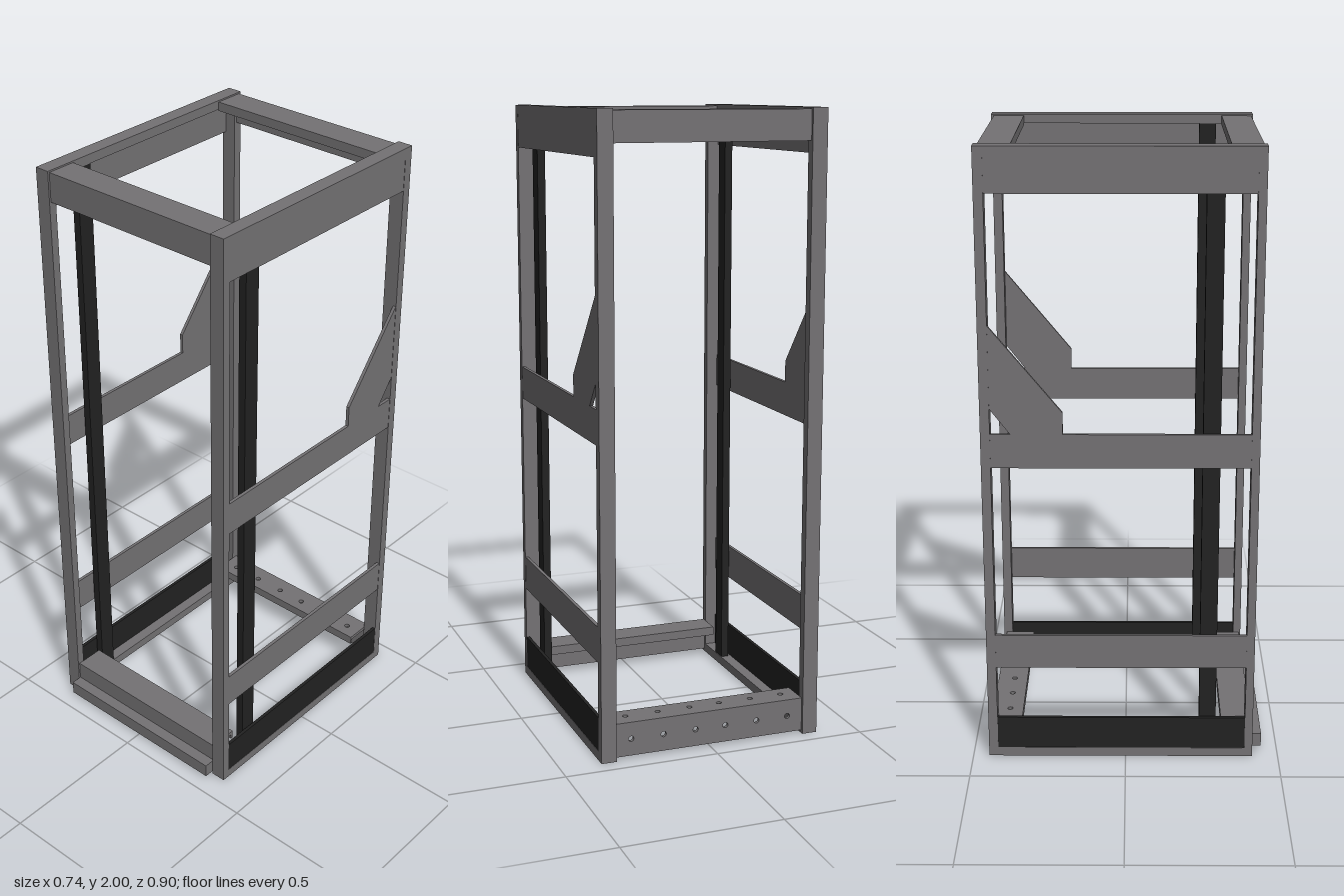
import * as THREE from 'three';

export function createModel() {
  const model = new THREE.Group();
  const grey = new THREE.MeshStandardMaterial({ color: 0x747274 });
  grey.name = 'grey steel';
  const black = new THREE.MeshStandardMaterial({ color: 0x222222 });
  black.name = 'black steel';

  const add = (name, geometry, material = grey, parent = model) => {
    const mesh = new THREE.Mesh(geometry, material);
    mesh.name = name;
    parent.add(mesh);
    return mesh;
  };
  // Box given by its extents on each axis
  const box = (name, [x0, x1], [y0, y1], [z0, z1], material, parent) =>
    add(name, new THREE.BoxGeometry(x1 - x0, y1 - y0, z1 - z0), material, parent)
      .position.set((x0 + x1) / 2, (y0 + y1) / 2, (z0 + z1) / 2);

  const FRONT = 0.416, BACK = -0.448, IN = 0.318, OUT = 0.368, T = 0.012;
  const between = [-0.418, 0.39];
  const plate = [OUT - T, OUT - 0.001];

  // Two mirrored side frames
  for (const s of [1, -1]) {
    const side = new THREE.Group();
    side.name = s > 0 ? 'leftSide' : 'rightSide';
    model.add(side);
    const xs = ([a, b]) => (s > 0 ? [a, b] : [-b, -a]);
    const part = (name, x, y, z, material) => box(name, xs(x), y, z, material, side);

    part('frontPost', [IN, OUT], [0, 2], [0.39, FRONT]);
    part('backPost', [IN, OUT], [0, 2], [BACK, -0.418]);
    part('topRail', [IN, OUT], [1.97, 2], between);
    part('bottomRail', [IN, OUT], [0, 0.03], between);
    part('topSidePlate', plate, [1.86, 1.97], between);
    part('middleBrace', plate, [1.005, 1.115], between);
    part('lowerBrace', plate, [0.32, 0.435], between);
    part('bottomSidePlate', plate, [0.03, 0.14], between, black);
    part('mountingRail', [IN + 0.002, 0.346], [0.03, 1.97], [0.24, 0.295], black);

    // Angled gusset between the middle brace and the back post
    const gusset = new THREE.Shape([
      [0.418, 1.46], [0.193, 1.185], [0.193, 1.115], [0.355, 1.115], [0.418, 1.197],
    ].map(([z, y]) => new THREE.Vector2(z, y)));
    const g = new THREE.ExtrudeGeometry(gusset, { depth: T - 0.001, bevelEnabled: false });
    g.rotateY(Math.PI / 2);
    const m = add('gusset', g, grey, side);
    m.position.x = s > 0 ? plate[0] : -plate[1];
  }

  // Flat plate centred on x, with an optional row of bolt holes
  const W = 2 * IN;
  const holedPlate = (height, thick, holes) => {
    const h = height / 2;
    const shape = new THREE.Shape([
      new THREE.Vector2(-IN, -h), new THREE.Vector2(IN, -h),
      new THREE.Vector2(IN, h), new THREE.Vector2(-IN, h),
    ]);
    for (const x of holes) {
      shape.holes.push(new THREE.Path().absarc(x * W, 0, 0.009, 0, Math.PI * 2, true));
    }
    return new THREE.ExtrudeGeometry(shape, { depth: thick, bevelEnabled: false, curveSegments: 8 })
      .translate(0, 0, -thick / 2);
  };

  // Cross bars: folded sheet with a top, an outer face and a short inner lip
  const crossBar = (name, y0, y1, outer, inner, holes = []) => {
    const bar = new THREE.Group();
    bar.name = name;
    model.add(bar);
    const d = Math.sign(outer - inner);
    add('face', holedPlate(y1 - y0, T, holes), grey, bar)
      .position.set(0, (y0 + y1) / 2, outer - d * T / 2);
    const top = add('top', holedPlate(Math.abs(outer - inner) - T, T, holes), grey, bar);
    top.rotation.x = -Math.PI / 2;
    top.position.set(0, y1 - T / 2, (outer - d * T + inner) / 2);
    const lip = [inner, inner + d * 0.008].sort((a, b) => a - b);
    box('lip', [-IN, IN], [y1 - 0.03, y1 - T], lip, grey, bar);
  };
  const bolts = [-0.42, -0.25, -0.08, 0.08, 0.25, 0.42];
  crossBar('topFrontBar', 1.9, 1.995, 0.41, 0.313);
  crossBar('topBackBar', 1.9, 1.995, -0.439, -0.34);
  crossBar('bottomFrontBar', 0.01, 0.12, 0.41, 0.313);
  crossBar('bottomBackBar', 0.01, 0.12, -0.439, -0.34, bolts);

  // Front kick bar
  box('kickBar', [-IN, IN], [0.01, 0.056], [0.41, 0.448]);

  return model;
}
